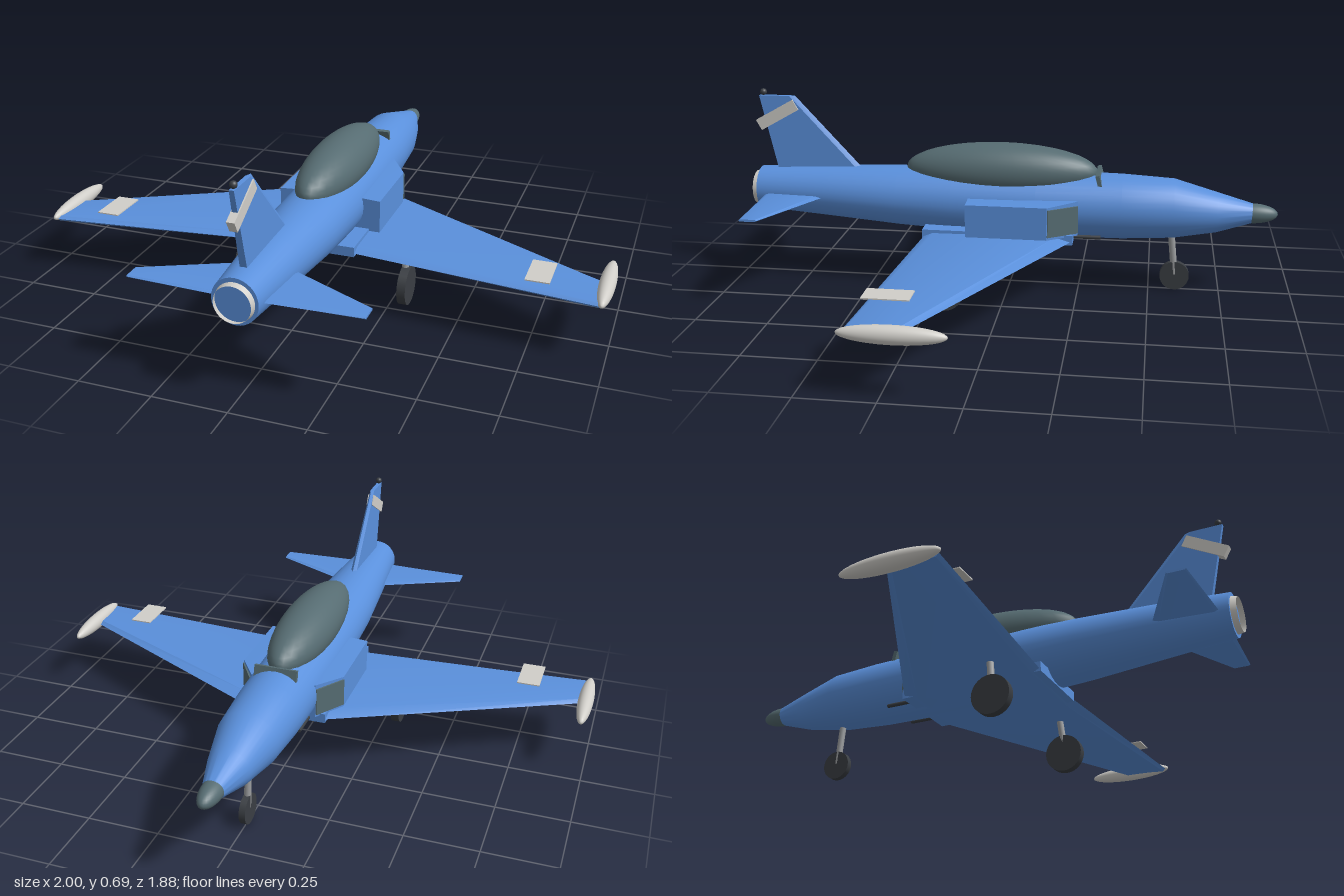
import * as THREE from 'three';
import { toCreasedNormals } from 'three/addons/utils/BufferGeometryUtils.js';

const mat = (name, color, side = THREE.FrontSide) => {
  const m = new THREE.MeshStandardMaterial({ color, side });
  m.name = name;
  return m;
};

// Skin between matching rings of [x, y, z] points, capped at both ends
function loft(rings, crease = 0.5) {
  const n = rings[0].length, pts = rings.flat(), idx = [];
  for (let r = 0; r < rings.length - 1; r++)
    for (let i = 0; i < n; i++) {
      const a = r * n + i, b = r * n + (i + 1) % n;
      idx.push(a, b, a + n, b, b + n, a + n);
    }
  const last = (rings.length - 1) * n;
  for (let i = 1; i < n - 1; i++) idx.push(0, i + 1, i, last, last + i, last + i + 1);
  // Turn the faces outward if the enclosed volume is negative
  const v = pts.map(p => new THREE.Vector3(...p));
  let vol = 0;
  for (let i = 0; i < idx.length; i += 3)
    vol += v[idx[i]].dot(v[idx[i + 1]].clone().cross(v[idx[i + 2]]));
  if (vol < 0) idx.reverse();
  const g = new THREE.BufferGeometry();
  g.setAttribute('position', new THREE.Float32BufferAttribute(pts.flat(), 3));
  g.setIndex(idx);
  return toCreasedNormals(g.toNonIndexed(), crease);
}

// Tapered six-sided aerofoil section at a given x
const foil = (x, z0, z1, y0, y1) => {
  const c = z1 - z0, m = (y0 + y1) / 2;
  return [[x, m, z0], [x, y1, z0 + c * 0.1], [x, y1 - (y1 - y0) * 0.1, z1 - c * 0.06],
    [x, m, z1], [x, y0, z1 - c * 0.06], [x, y0, z0 + c * 0.1]];
};

export function createModel() {
  const group = new THREE.Group();
  group.name = 'jetAircraft';
  const blue = mat('bluePaint', 0x5a90dc);
  const slate = mat('slateGlass', 0x566c72);
  const pale = mat('paleGrey', 0xd0cec9);
  const paleOpen = mat('nozzleGrey', 0xd0cec9, THREE.DoubleSide);
  const dark = mat('darkRubber', 0x3a3e43);
  const steel = mat('strutGrey', 0x9a9c9e);

  const add = (name, geo, material, pos = [0, 0, 0], rot = [0, 0, 0], scale = [1, 1, 1]) => {
    const mesh = new THREE.Mesh(geo, material);
    mesh.name = name;
    mesh.position.set(...pos);
    mesh.rotation.set(...rot);
    mesh.scale.set(...scale);
    group.add(mesh);
    return mesh;
  };
  const sphere = new THREE.SphereGeometry(1, 32, 20);
  const box = (w, h, d) => new THREE.BoxGeometry(w, h, d);

  // Fuselage: z, half width, bottom, top
  const stations = [
    [-0.86, 0.033, 0.265, 0.33], [-0.73, 0.072, 0.225, 0.367], [-0.58, 0.105, 0.2, 0.41],
    [-0.4, 0.117, 0.19, 0.42], [-0.1, 0.124, 0.188, 0.425], [0.2, 0.125, 0.198, 0.427],
    [0.4, 0.12, 0.21, 0.423], [0.65, 0.1, 0.23, 0.416], [0.92, 0.075, 0.25, 0.404]];
  add('fuselage', loft(stations.map(([z, w, b, t]) =>
    Array.from({ length: 32 }, (_, i) => {
      const a = i / 32 * Math.PI * 2;
      return [Math.cos(a) * w, (t + b) / 2 + Math.sin(a) * (t - b) / 2, z];
    }))), blue);
  add('noseCone', sphere, slate, [0, 0.297, -0.85], [0, 0, 0], [0.036, 0.035, 0.09]);
  add('exhaustRing', new THREE.CylinderGeometry(0.06, 0.066, 0.03, 32, 1, true), paleOpen,
    [0, 0.326, 0.925], [Math.PI / 2, 0, 0]);

  // Canopy and windscreen bar
  add('canopy', sphere, slate, [0, 0.425, 0.032], [0, 0, 0], [0.1, 0.096, 0.343]);
  add('windscreenBar', box(0.15, 0.04, 0.014), slate, [0, 0.412, -0.318], [0.25, 0, 0]);

  // Wings and tailplane, each one piece from tip to tip
  const tip = [0.195, 0.36, 0.188, 0.208], root = [-0.235, 0.288, 0.194, 0.226];
  add('wings', loft([foil(-0.965, ...tip), foil(-0.13, ...root),
    foil(0.13, ...root), foil(0.965, ...tip)]), blue);
  add('wingRootBox', box(0.29, 0.035, 0.53), blue, [0, 0.2165, 0.03]);
  const tailTip = [0.81, 0.873, 0.315, 0.323], tailRoot = [0.66, 0.886, 0.313, 0.325];
  add('tailplane', loft([foil(-0.38, ...tailTip), foil(-0.07, ...tailRoot),
    foil(0.07, ...tailRoot), foil(0.38, ...tailTip)]), blue);

  // Fin with its band and tip light
  const finRing = (y, z0, z1, h) => [[-h, y, z0 + 0.02], [0, y, z0], [h, y, z0 + 0.02], [h, y, z1], [-h, y, z1]];
  add('fin', loft([finRing(0.38, 0.513, 0.848, 0.012), finRing(0.67, 0.78, 0.912, 0.008)], 0.2), blue);
  add('finBand', box(0.026, 0.042, 0.16), pale, [0, 0.6, 0.848], [0.51, 0, 0]);
  add('finLight', sphere, dark, [0, 0.682, 0.897], [0, 0, 0], [0.012, 0.012, 0.012]);

  const wheel = (name, r, w, pos) =>
    add(name, new THREE.CylinderGeometry(r, r, w, 28), dark, pos, [0, 0, Math.PI / 2]);
  const strut = (name, a, b) => {
    const path = new THREE.LineCurve3(new THREE.Vector3(...a), new THREE.Vector3(...b));
    add(name, new THREE.TubeGeometry(path, 1, 0.012, 12), steel);
  };
  wheel('noseWheel', 0.052, 0.022, [0, 0.054, -0.592]);
  strut('noseStrut', [0, 0.06, -0.592], [0, 0.22, -0.575]);

  for (const s of [1, -1]) {
    const side = s > 0 ? 'left' : 'right';
    // Air intake with a slanted mouth
    const plan = [[0.05, 0.135], [0.184, 0.135], [0.184, -0.148], [0.115, -0.25], [0.05, -0.25]];
    const slice = (pts, y, y2 = y) => pts.map(([x, z], i) => [s * x, i === 1 || i === 2 ? y2 : y, z]);
    add(side + 'Intake', loft([slice(plan, 0.226), slice(plan, 0.35, 0.342)], 0.2), blue);
    const mouth = [[0.183, -0.15], [0.187, -0.152], [0.121, -0.252], [0.115, -0.248]];
    add(side + 'IntakeMouth', loft([slice(mouth, 0.236), slice(mouth, 0.334)], 0.2), slate);
    // Gun barrel under the intake
    add(side + 'GunBarrel', new THREE.CylinderGeometry(0.007, 0.007, 0.14, 10), dark,
      [s * 0.085, 0.212, -0.26], [Math.PI / 2, 0, 0]);
    // Wing tip tank and panel
    add(side + 'TipTank', sphere, pale, [s * 0.973, 0.203, 0.208], [0, 0, 0], [0.027, 0.029, 0.163]);
    add(side + 'WingPanel', box(0.08, 0.004, 0.148), pale, [s * 0.768, 0.239, 0.266]);
    // Main landing gear
    wheel(side + 'MainWheel', 0.068, 0.03, [s * 0.3, 0.07, 0.19]);
    strut(side + 'MainStrut', [s * 0.3, 0.08, 0.19], [s * 0.288, 0.21, 0.178]);
  }
  return group;
}
